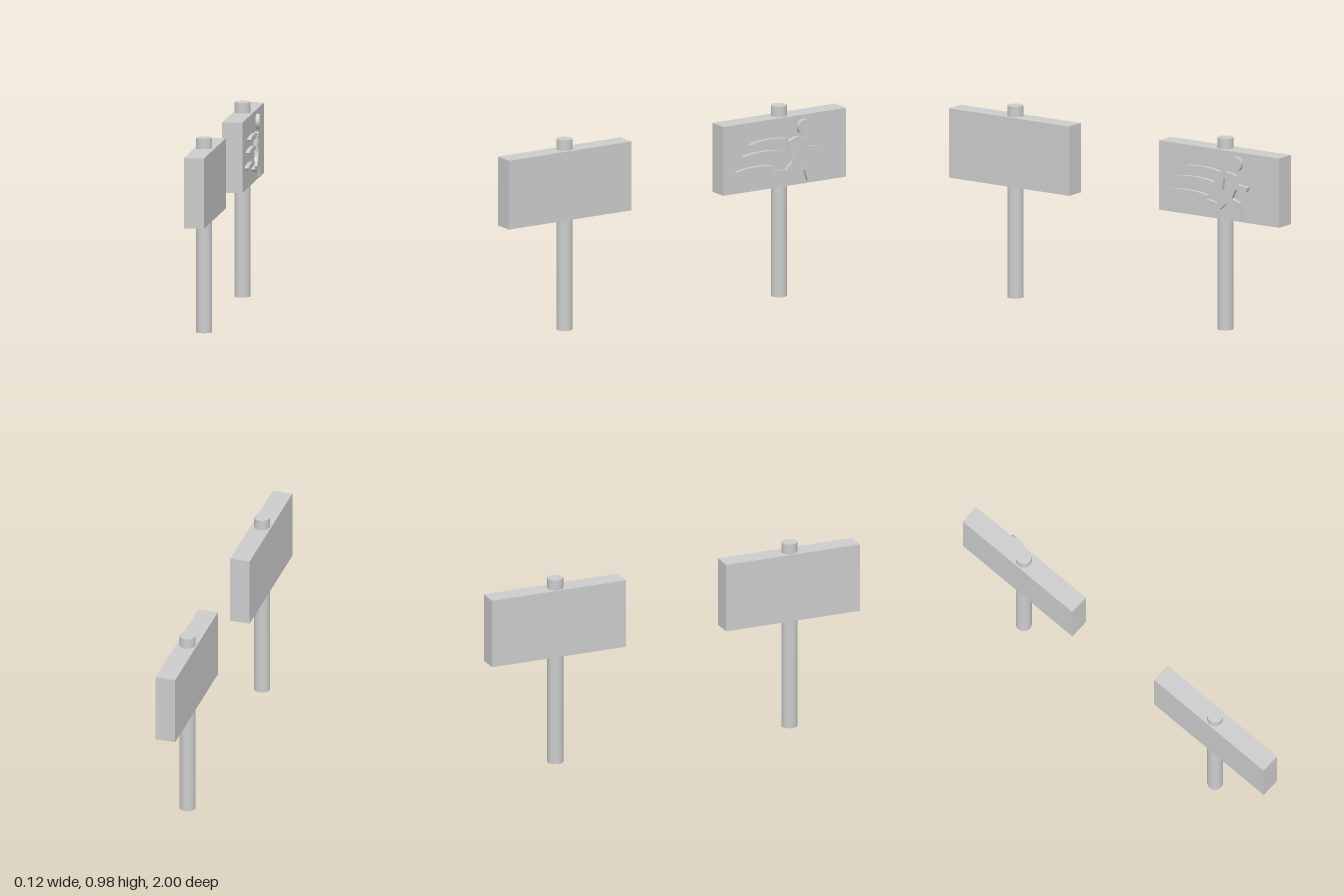
import * as THREE from 'three';

const grey = new THREE.MeshStandardMaterial({ color: 0xcccccc });

function add(parent, name, geometry, x = 0, y = 0, z = 0) {
  const mesh = new THREE.Mesh(geometry, grey);
  mesh.name = name;
  mesh.position.set(x, y, z);
  parent.add(mesh);
  return mesh;
}

// Flat shape raised from the board's +x face; shape x runs towards -z
function addRelief(parent, name, shape) {
  const geometry = new THREE.ExtrudeGeometry(shape, { depth: 0.024, bevelEnabled: false, curveSegments: 16 });
  geometry.rotateY(Math.PI / 2);
  add(parent, name, geometry, 0.036);
}

// Pointed streak with gently bowed edges
function streakShape(start, end, y) {
  const mid = (start + end) / 2, bow = 0.014, q = (end - start) * 0.3;
  const s = new THREE.Shape();
  s.moveTo(start, y);
  s.bezierCurveTo(mid - q, y - bow * 1.3, mid + q, y - bow * 1.3, end, y);
  s.bezierCurveTo(mid + q, y + bow * 1.3, mid - q, y + bow * 1.3, start, y);
  return s;
}

export function createModel() {
  const model = new THREE.Group();
  model.name = 'signposts';

  // Two matching posts with boards
  for (const [side, z] of [['front', 0.636], ['back', -0.636]]) {
    const sign = new THREE.Group();
    sign.name = side + 'Sign';
    model.add(sign);
    add(sign, 'post', new THREE.CylinderGeometry(0.04, 0.04, 0.98, 32), -0.015, 0.49, z);
    add(sign, 'board', new THREE.BoxGeometry(0.102, 0.354, 0.728), -0.011, 0.75, z);
  }

  // Running figure on the back sign
  const runner = new THREE.Group();
  runner.name = 'runningFigure';
  model.add(runner);

  addRelief(runner, 'head', new THREE.Shape().absarc(0.743, 0.868, 0.038, 0, Math.PI * 2));

  const body = [
    [0.65, 0.807], [0.692, 0.824], [0.752, 0.81], [0.762, 0.767], // shoulders
    [0.821, 0.757], [0.812, 0.733], [0.747, 0.738], // forward arm
    [0.725, 0.69], [0.773, 0.674], [0.783, 0.594], [0.762, 0.588], [0.743, 0.645], // front leg
    [0.693, 0.66], [0.65, 0.626], [0.564, 0.65], [0.57, 0.668], [0.634, 0.658], // rear leg
    [0.671, 0.7], [0.693, 0.791], [0.676, 0.791], // back
    [0.666, 0.727], [0.641, 0.727], // rear arm
  ];
  addRelief(runner, 'body', new THREE.Shape(body.map(([x, y]) => new THREE.Vector2(x, y))));

  // Speed streaks trailing behind
  for (const [start, end, y] of [[0.425, 0.65, 0.818], [0.38, 0.613, 0.76], [0.34, 0.57, 0.687]]) {
    addRelief(runner, 'speedStreak', streakShape(start, end, y));
  }

  return model;
}
